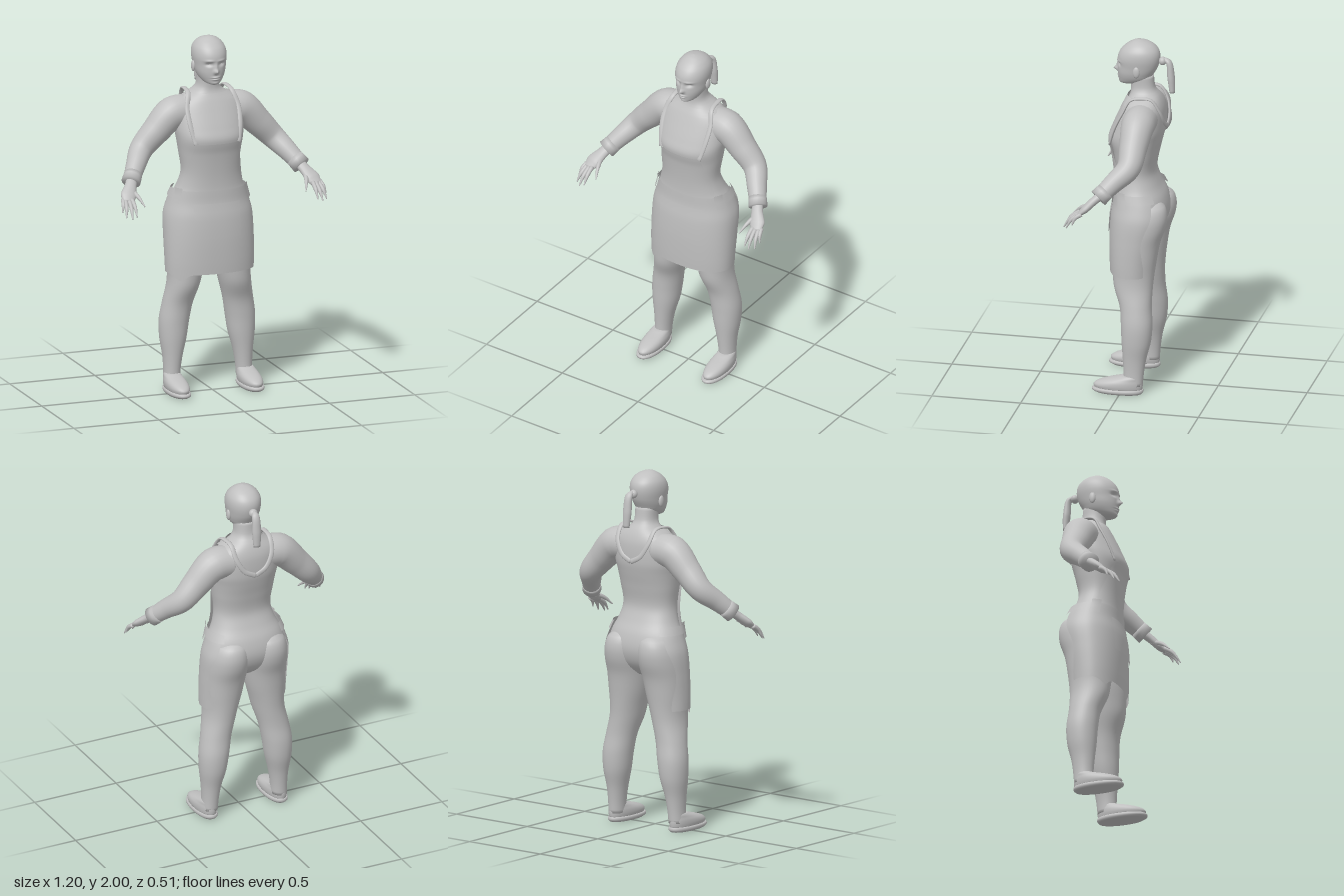
import * as THREE from 'three';

const V = (x, y, z) => new THREE.Vector3(x, y, z);
const grey = new THREE.MeshStandardMaterial({ color: 0xc0c0c0, side: THREE.DoubleSide });
grey.name = 'plain grey';

// Section tables, rising in y: [y, half width, front z, back z, centre x]
const BODY = [
  [0.86, 0.12, 0.02, -0.12], [0.9, 0.2, 0.055, -0.17], [0.95, 0.225, 0.065, -0.205],
  [1.02, 0.233, 0.068, -0.222], [1.1, 0.212, 0.065, -0.208], [1.17, 0.18, 0.062, -0.175],
  [1.25, 0.163, 0.066, -0.15], [1.36, 0.176, 0.08, -0.168], [1.44, 0.188, 0.097, -0.188],
  [1.5, 0.195, 0.078, -0.2], [1.6, 0.185, 0.035, -0.2], [1.65, 0.155, 0.012, -0.188],
  [1.69, 0.09, -0.008, -0.168], [1.72, 0.064, -0.012, -0.146], [1.8, 0.06, -0.005, -0.135]];
const SKIRT = [
  [0.64, 0.25, 0.092, -0.18], [0.75, 0.254, 0.097, -0.192], [0.88, 0.255, 0.098, -0.22],
  [1.0, 0.25, 0.092, -0.246], [1.08, 0.228, 0.08, -0.23], [1.15, 0.205, 0.078, -0.195]];
const LEG = [
  [0.05, 0.044, -0.015, -0.122, 0.213], [0.12, 0.046, -0.015, -0.128, 0.21], [0.2, 0.055, -0.01, -0.14, 0.206],
  [0.3, 0.074, -0.002, -0.164, 0.2], [0.4, 0.083, 0.003, -0.171, 0.193], [0.5, 0.084, 0.014, -0.163, 0.176],
  [0.6, 0.088, 0.05, -0.164, 0.152], [0.67, 0.094, 0.06, -0.17, 0.141], [0.76, 0.108, 0.066, -0.182, 0.132],
  [0.86, 0.117, 0.066, -0.2, 0.124], [0.95, 0.12, 0.06, -0.23, 0.118], [1.02, 0.112, 0.045, -0.237, 0.115],
  [1.08, 0.085, 0.01, -0.215, 0.11], [1.11, 0.03, -0.06, -0.16, 0.1]];
const HEAD = [
  [1.742, 0.016, 0.04, -0.01], [1.75, 0.04, 0.052, -0.06], [1.775, 0.064, 0.058, -0.115],
  [1.81, 0.08, 0.062, -0.14], [1.85, 0.088, 0.062, -0.161], [1.9, 0.094, 0.063, -0.172],
  [1.94, 0.088, 0.046, -0.165], [1.97, 0.069, 0.016, -0.14], [1.988, 0.045, -0.012, -0.108],
  [1.997, 0.022, -0.032, -0.076], [2.0, 0.003, -0.05, -0.056]];
const SOLE = [
  [0, 0.052, 0.14, -0.115], [0.01, 0.06, 0.16, -0.125], [0.024, 0.06, 0.16, -0.125], [0.028, 0.056, 0.152, -0.122]];
const SHOE = [
  [0.026, 0.054, 0.148, -0.12], [0.045, 0.058, 0.152, -0.123], [0.065, 0.057, 0.125, -0.123],
  [0.083, 0.051, 0.07, -0.12], [0.096, 0.046, 0.015, -0.118], [0.105, 0.04, -0.01, -0.11]];

// Smooth reading of a section table at height y
function sample(tab, y) {
  const last = tab.length - 1;
  let i = 0;
  while (i < last - 1 && y > tab[i + 1][0]) i++;
  const h = tab[i + 1][0] - tab[i][0];
  const t = Math.min(1, Math.max(0, (y - tab[i][0]) / h));
  const slope = (k, c) => {
    const a = tab[Math.max(0, k - 1)], b = tab[Math.min(last, k + 1)];
    return (b[c] - a[c]) / (b[0] - a[0]);
  };
  return [1, 2, 3, 4].map((c) => {
    const p = tab[i][c] ?? 0, q = tab[i + 1][c] ?? 0;
    if (tab[i][c] === undefined) { if (c === 4) return 0; }
    return (2 * t ** 3 - 3 * t * t + 1) * p + (t ** 3 - 2 * t * t + t) * h * slope(i, c)
      + (3 * t * t - 2 * t ** 3) * q + (t ** 3 - t * t) * h * slope(i + 1, c);
  });
}
const pw = (v, e) => Math.sign(v) * Math.abs(v) ** e;
// Surface point at height y and angle a (0 is the front, positive towards +x)
function at(tab, y, a, off = 0, e = 0.88) {
  const [w, f, b, cx] = sample(tab, y);
  return V(cx + (Math.max(w, 0.002) + off) * pw(Math.sin(a), e), y,
    (f + b) / 2 + ((f - b) / 2 + off) * pw(Math.cos(a), e));
}
const angleOf = (tab, y, x, e = 0.88) =>
  Math.sign(x) * Math.asin(Math.min(1, Math.abs(x) / sample(tab, y)[0]) ** (1 / e));

// Skin a list of point rows; closed rows wrap round and get end caps
function skin(rows, closed = true) {
  const n = rows[0].length, idx = [], pts = rows.flat();
  for (let i = 0; i < rows.length - 1; i++)
    for (let j = 0; j < (closed ? n : n - 1); j++) {
      const k = (j + 1) % n, a = i * n + j, b = i * n + k;
      idx.push(a, b, b + n, a, b + n, a + n);
    }
  if (closed) for (const r of [0, rows.length - 1]) {
    const c = pts.push(rows[r].reduce((s, p) => s.add(p), V(0, 0, 0)).divideScalar(n)) - 1;
    for (let j = 0; j < n; j++) {
      const a = r * n + j, b = r * n + (j + 1) % n;
      r ? idx.push(a, b, c) : idx.push(b, a, c);
    }
  }
  const g = new THREE.BufferGeometry().setFromPoints(pts);
  g.setIndex(idx);
  g.computeVertexNormals();
  return g;
}
function loft(tab, rows, n, e = 0.88, move = (p) => p) {
  const y0 = tab[0][0], y1 = tab[tab.length - 1][0];
  return skin(Array.from({ length: rows + 1 }, (_, i) => Array.from({ length: n }, (_, j) =>
    move(at(tab, y0 + (y1 - y0) * i / rows, j / n * Math.PI * 2, 0, e)))));
}
// Thin cloth sheet lying on a section table; edge(v) gives [low, high] angles
function sheet(tab, low, high, edge, off, rows = 24, cols = 40) {
  return skin(Array.from({ length: rows + 1 }, (_, i) => Array.from({ length: cols + 1 }, (_, j) => {
    const v = i / rows, yy = low + (high - low) * v, [a, b] = edge(yy, v);
    return at(tab, yy, a + (b - a) * j / cols, off);
  })), false);
}
const byWidth = (tab, x) => (y, v) => [angleOf(tab, y, -x(v)), angleOf(tab, y, x(v))];

// Limb along a curve; radii are numbers or [along ref, across ref]
function limb(points, radii, ref = V(0, 0, 1), steps = 20, n = 16) {
  const curve = new THREE.CatmullRomCurve3(points), m = radii.length - 1;
  return skin(Array.from({ length: steps + 1 }, (_, i) => {
    const t = i / steps, c = curve.getPoint(t), d = curve.getTangent(t);
    const u = ref.clone().addScaledVector(d, -d.dot(ref)).normalize(), v = d.clone().cross(u);
    const k = Math.min(m - 1, Math.floor(t * m)), s = t * m - k;
    const [ru, rv] = [0, 1].map((q) => THREE.MathUtils.lerp([radii[k]].flat()[q] ?? radii[k], [radii[k + 1]].flat()[q] ?? radii[k + 1], s));
    return Array.from({ length: n }, (_, j) => {
      const a = j / n * Math.PI * 2;
      return c.clone().addScaledVector(u, ru * Math.cos(a)).addScaledVector(v, rv * Math.sin(a));
    });
  }));
}
function ball(x, y, z, rx, ry, rz) {
  return new THREE.SphereGeometry(1, 20, 14).scale(rx, ry, rz).translate(x, y, z);
}
function flip(g) {
  const m = g.clone().scale(-1, 1, 1), ix = m.index.array;
  for (let i = 0; i < ix.length; i += 3) [ix[i], ix[i + 1]] = [ix[i + 1], ix[i]];
  m.computeVertexNormals();
  return m;
}

export function createModel() {
  const model = new THREE.Group();
  model.name = 'cookFigure';
  const add = (name, g) => {
    const mesh = new THREE.Mesh(g, grey);
    mesh.name = name;
    model.add(mesh);
  };
  const pair = (name, g) => { add(name + 'Left', g); add(name + 'Right', flip(g)); };

  // Torso with neck, and head with face relief
  add('torso', loft(BODY, 60, 48));
  const bump = (p, x, y, sx, sy) => Math.exp(-(((Math.abs(p.x) - x) / sx) ** 2) - ((p.y - y) / sy) ** 2);
  add('head', loft(HEAD, 80, 80, 0.95, (p) => {
    if (p.z > 0) p.z += 0.024 * bump(p, 0, 1.822, 0.012, 0.013) + 0.01 * bump(p, 0, 1.845, 0.009, 0.02)
      - 0.013 * bump(p, 0.036, 1.862, 0.018, 0.011) + 0.005 * bump(p, 0.036, 1.882, 0.025, 0.007)
      + 0.009 * bump(p, 0, 1.788, 0.02, 0.005) + 0.008 * bump(p, 0, 1.776, 0.018, 0.005)
      - 0.004 * bump(p, 0, 1.782, 0.025, 0.003) + 0.004 * bump(p, 0, 1.754, 0.02, 0.008);
    return p;
  }));
  pair('eye', ball(0.036, 1.861, 0.03, 0.014, 0.007, 0.012));
  pair('ear', ball(0.09, 1.836, -0.058, 0.011, 0.032, 0.019).rotateX(0));

  // Ponytail
  add('hairKnot', ball(0.003, 1.885, -0.188, 0.025, 0.024, 0.022));
  add('ponytail', limb([V(0.003, 1.895, -0.195), V(0.005, 1.88, -0.222), V(0.006, 1.79, -0.236), V(0.008, 1.705, -0.243)],
    [0.012, [0.022, 0.016], [0.027, 0.021], [0.02, 0.015]], V(1, 0, 0)));

  // Arms, cuffs and hands
  pair('sleeve', limb([V(0.1, 1.575, -0.095), V(0.2, 1.567, -0.092), V(0.3, 1.475, -0.088), V(0.385, 1.385, -0.08),
    V(0.445, 1.315, -0.01), V(0.495, 1.25, 0.055)], [0.09, 0.093, 0.078, 0.066, 0.055, 0.046], V(0, 0, 1), 36, 24));
  pair('cuff', limb([V(0.474, 1.277, 0.028), V(0.5, 1.243, 0.062)], [0.05, 0.053], V(0, 0, 1), 2, 24));
  pair('palm', limb([V(0.488, 1.26, 0.045), V(0.512, 1.225, 0.088), V(0.54, 1.185, 0.13), V(0.553, 1.158, 0.162)],
    [[0.03, 0.025], [0.033, 0.023], [0.045, 0.021], [0.03, 0.012]], V(1, 0, 0)));
  const fingers = [
    [0.576, 1.168, 0.142, 0.597, 1.108, 0.19], [0.565, 1.163, 0.154, 0.587, 1.085, 0.225],
    [0.547, 1.163, 0.16, 0.558, 1.08, 0.245], [0.53, 1.168, 0.158, 0.53, 1.09, 0.24],
    [0.512, 1.205, 0.095, 0.472, 1.135, 0.208]];
  fingers.forEach(([a, b, c, d, e, f], i) => pair(i < 4 ? 'finger' + (i + 1) : 'thumb',
    limb([V(a, b, c), V((a + d) / 2, (b + e) / 2 + 0.008, (c + f) / 2 + 0.008), V(d, e, f)],
      [i < 4 ? 0.013 : 0.016, 0.011, 0.003], V(1, 0, 0), 8, 10)));

  // Legs and shoes
  pair('leg', loft(LEG, 56, 36, 0.95));
  pair('sole', loft(SOLE, 6, 36, 0.9).translate(0.215, 0, 0));
  pair('shoe', loft(SHOE, 14, 36, 0.95).translate(0.215, 0, 0));

  // Apron: skirt open at the back, waist panel and bib
  const skirt = sheet(SKIRT, 0.68, 1.15, (y, v) => {
    const a = 2.02 + 0.13 * Math.cos(v * 7);
    return [-a, a];
  }, 0, 28, 64);
  const pos = skirt.attributes.position;
  for (let i = 0; i < pos.count; i++)
    if (pos.getY(i) < 0.7 && pos.getZ(i) > 0) pos.setY(i, pos.getY(i) - 0.035 * Math.exp(-(((pos.getX(i) + 0.2) / 0.03) ** 2)));
  add('apronSkirt', skirt);
  add('apronWaist', sheet(BODY, 1.13, 1.42, byWidth(BODY, (v) => 0.172 - 0.055 * v), 0.014));
  add('apronBib', sheet(BODY, 1.42, 1.685, byWidth(BODY, (v) => 0.115 + 0.02 * Math.sin(v * 2)), 0.012));
  add('frontPocket', sheet(SKIRT, 0.885, 1.08, byWidth(SKIRT, () => 0.13), 0.007, 8, 20));
  pair('waistTie', sheet(SKIRT, 1.105, 1.15, () => [1.2, 2.3], 0.008, 4, 20));
  pair('hipPocket', sheet(SKIRT, 1.08, 1.165, () => [1.0, 1.35], 0.01, 4, 8));

  // Straps over the shoulders, joining behind the back
  const on = (x, y, back) => {
    const a = angleOf(BODY, y, x);
    return at(BODY, y, back ? Math.PI - a : a, 0.014);
  };
  pair('strap', limb([on(0.115, 1.42), on(0.135, 1.52), on(0.138, 1.61), V(0.128, 1.685, -0.035), V(0.122, 1.698, -0.09),
    V(0.118, 1.69, -0.15), on(0.1, 1.62, true), on(0.06, 1.545, true), on(0.002, 1.51, true)],
  Array(9).fill([0.014, 0.007]), V(1, 0, 0), 60, 12));
  return model;
}
